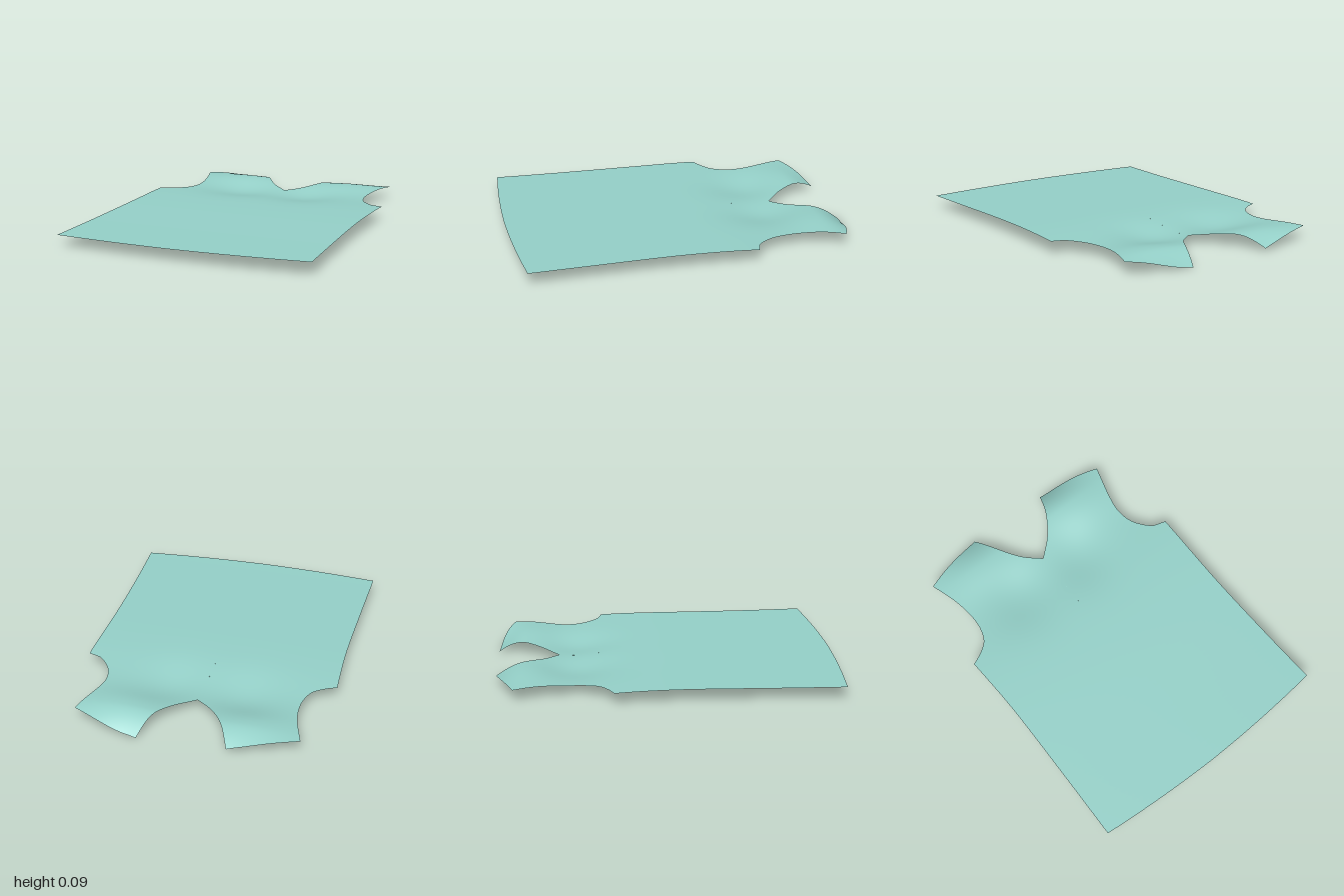
import * as THREE from 'three';

const material = new THREE.MeshStandardMaterial({ color: 0x96d2ca, side: THREE.DoubleSide });
const bump = (d, w) => Math.exp(-((d / w) ** 2));

// Height of the cloth: nearly flat body, two chest hollows, shoulder ridge, curl at the neck points
function height(x, z) {
  const hollow = 0.009 + 0.027 * bump(x + 0.27, 0.21) + 0.027 * bump(x - 0.16, 0.19);
  const ridge = 0.016 * bump(z + 0.79, 0.14) * bump(Math.abs(x) - 0.35, 0.25);
  const t = Math.max(0, (-z - 0.82) / 0.18);
  const curl = (x > 0 ? 0.075 : 0.056) * t * t * bump(Math.max(0, Math.abs(x) - 0.25), 0.3);
  return 0.074 + 0.006 * x + 0.007 * bump(z, 0.5) - hollow * bump(z + 0.53, 0.21) + ridge - curl;
}

const curve = (points) =>
  new THREE.CatmullRomCurve3(points.map(([x, z]) => new THREE.Vector3(x, 0, z)), false, 'centripetal');

// Cloth patch spanning two edge curves; bowStart and bowEnd bend its first and last rows in z
function patch(name, inner, outer, rows, cols, bowStart = 0, bowEnd = 0) {
  const position = [], normal = [], index = [], e = 0.004;
  for (let j = 0; j <= rows; j++) {
    const v = j / rows, a = inner.getPoint(v), b = outer.getPoint(v);
    for (let i = 0; i <= cols; i++) {
      const u = i / cols, p = a.clone().lerp(b, u);
      p.z += 4 * u * (1 - u) * (bowStart * (1 - v) ** 4 + bowEnd * v ** 4);
      p.y = height(p.x, p.z);
      const n = new THREE.Vector3(
        (height(p.x - e, p.z) - height(p.x + e, p.z)) / (2 * e), 1,
        (height(p.x, p.z - e) - height(p.x, p.z + e)) / (2 * e)).normalize();
      position.push(p.x, p.y, p.z);
      normal.push(n.x, n.y, n.z);
    }
  }
  // Upper face is the front on both sides of the garment
  const faceUp = outer.getPoint(0.5).x > inner.getPoint(0.5).x;
  for (let j = 0; j < rows; j++) {
    for (let i = 0; i < cols; i++) {
      const a = j * (cols + 1) + i, b = a + 1, c = a + cols + 1, d = c + 1;
      if (faceUp) index.push(a, b, d, a, d, c);
      else index.push(a, d, b, a, c, d);
    }
  }
  const geometry = new THREE.BufferGeometry();
  geometry.setAttribute('position', new THREE.Float32BufferAttribute(position, 3));
  geometry.setAttribute('normal', new THREE.Float32BufferAttribute(normal, 3));
  geometry.setIndex(index);
  const mesh = new THREE.Mesh(geometry, material);
  mesh.name = name;
  return mesh;
}

export function createModel() {
  const group = new THREE.Group();
  group.name = 'sleevelessTop';

  // Edge lines as [x, z], from the hem or V point upward
  const sides = [
    {
      label: 'left', hemBow: 0.01, shoulderBow: -0.015,
      side: [[0.765, 0.945], [0.745, 0.61], [0.725, 0.13], [0.725, -0.36]],
      armhole: [[0.725, -0.36], [0.655, -0.38], [0.59, -0.445], [0.555, -0.51], [0.54, -0.6], [0.555, -0.71], [0.61, -0.91]],
      neck: [[-0.022, -0.63], [0.085, -0.73], [0.165, -0.85], [0.225, -1.0]],
      seam: [[-0.022, -0.57], [0.085, -0.66], [0.18, -0.78], [0.27, -0.993]],
    },
    {
      label: 'right', hemBow: 0.008, shoulderBow: -0.008,
      side: [[-0.75, 0.97], [-0.745, 0.5], [-0.745, 0.03], [-0.762, -0.325]],
      armhole: [[-0.762, -0.325], [-0.69, -0.36], [-0.63, -0.41], [-0.6, -0.49], [-0.595, -0.58], [-0.615, -0.71], [-0.67, -0.885]],
      neck: [[-0.022, -0.63], [-0.125, -0.72], [-0.21, -0.84], [-0.285, -0.995]],
      seam: [[-0.022, -0.57], [-0.125, -0.645], [-0.235, -0.77], [-0.335, -0.983]],
    },
  ];
  const centreLine = curve([[-0.022, 1.0], [-0.022, 0.2], [-0.022, -0.57]]);

  for (const s of sides) {
    const seam = curve(s.seam);
    group.add(
      patch(s.label + 'Body', centreLine, curve(s.side), 40, 28, s.hemBow, 0),
      patch(s.label + 'Shoulder', seam, curve(s.armhole), 36, 28, 0, s.shoulderBow),
      patch(s.label + 'Neckband', curve(s.neck), seam, 36, 4),
    );
  }

  // Small stitches down the centre front
  for (const [z, length] of [[-0.545, 0.014], [-0.39, 0.006], [-0.27, 0.004]]) {
    const stitch = new THREE.Mesh(new THREE.BoxGeometry(0.004, 0.002, length), material);
    stitch.name = 'centreStitch';
    stitch.position.set(-0.022, height(-0.022, z), z);
    group.add(stitch);
  }
  return group;
}
